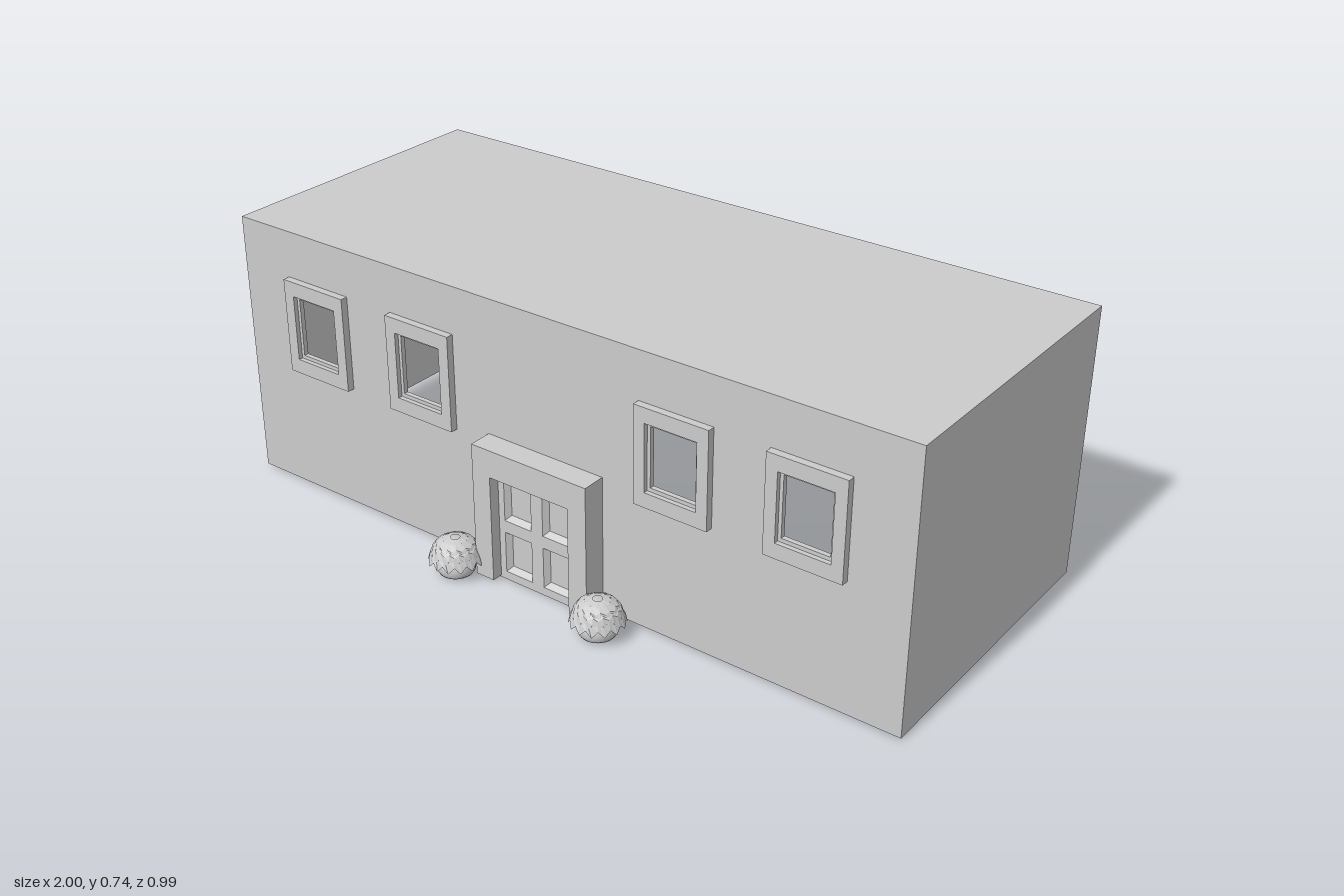
import * as THREE from 'three';

const mat = new THREE.MeshStandardMaterial({ color: 0xcccccc, side: THREE.DoubleSide });
const flat = new THREE.MeshStandardMaterial({ color: 0xcccccc, side: THREE.DoubleSide, flatShading: true });

const BASE = 0.005, TOP = 0.74, BACK = -0.495, FRONT = 0.335;
const WINDOWS = [-0.738, -0.383, 0.383, 0.738];
const WIN_Y = 0.482;

function add(parent, geo, name, material = mat) {
  const mesh = new THREE.Mesh(geo, material);
  mesh.name = name;
  parent.add(mesh);
  return mesh;
}

// Rectangle outline given by centre and half sizes
function rect(cx, cy, hw, hh, Type = THREE.Path) {
  return new Type([[-1, -1], [1, -1], [1, 1], [-1, 1]].map(([a, b]) => new THREE.Vector2(cx + a * hw, cy + b * hh)));
}

function holed(outer, holes) {
  outer.holes.push(...holes);
  return outer;
}

function extrude(shape, z0, z1) {
  return new THREE.ExtrudeGeometry(shape, { depth: z1 - z0, bevelEnabled: false }).translate(0, 0, z0);
}

// Surface joining closed loops of equal length
function loft(loops) {
  const n = loops[0].length, idx = [];
  for (let r = 0; r < loops.length - 1; r++) {
    for (let i = 0; i < n; i++) {
      const a = r * n + i, b = r * n + (i + 1) % n;
      idx.push(a, b, b + n, a, b + n, a + n);
    }
  }
  const geo = new THREE.BufferGeometry();
  geo.setAttribute('position', new THREE.Float32BufferAttribute(loops.flat(2), 3));
  geo.setIndex(idx);
  geo.computeVertexNormals();
  return geo;
}

const rectLoop = (cx, cy, hw, hh, z) => rect(cx, cy, hw, hh).getPoints().slice(0, 4).map((p) => [p.x, p.y, z]);

// Thin shell, open at the back and underneath
function makeShell() {
  const g = new THREE.Group();
  g.name = 'building';
  const h = TOP - BASE, d = FRONT - BACK, cy = (TOP + BASE) / 2, cz = (FRONT + BACK) / 2;
  const wall = holed(rect(0, cy, 1, h / 2, THREE.Shape), WINDOWS.map((x) => rect(x, WIN_Y, 0.103, 0.13)));
  add(g, new THREE.ShapeGeometry(wall).translate(0, 0, FRONT), 'frontWall');
  add(g, new THREE.PlaneGeometry(2, d).rotateX(-Math.PI / 2).translate(0, TOP, cz), 'roof');
  for (const s of [-1, 1]) {
    add(g, new THREE.PlaneGeometry(d, h).rotateY(s * Math.PI / 2).translate(s, cy, cz), s > 0 ? 'leftWall' : 'rightWall');
  }
  return g;
}

// Hollow window surround with an inner sleeve
function makeWindow(x) {
  const g = new THREE.Group();
  g.name = 'window';
  const loops = [[0.103, 0.13, FRONT], [0.103, 0.13, 0.355], [0.072, 0.09, 0.355], [0.072, 0.09, 0.343], [0.063, 0.08, 0.343], [0.063, 0.08, 0.33]];
  add(g, loft(loops.map(([w, h, z]) => rectLoop(0, WIN_Y, w, h, z))), 'windowFrame', flat);
  g.position.x = x;
  return g;
}

// Doorway surround and a deep door block with four sunken panels
function makeDoor() {
  const g = new THREE.Group();
  g.name = 'door';
  const frame = new THREE.Shape([[-0.175, BASE], [-0.12, BASE], [-0.12, 0.3], [0.12, 0.3], [0.12, BASE], [0.175, BASE], [0.175, 0.375], [-0.175, 0.375]]
    .map(([x, y]) => new THREE.Vector2(x, y)));
  add(g, extrude(frame, FRONT, 0.4), 'doorFrame');
  add(g, new THREE.BoxGeometry(0.32, 0.36, 0.135).translate(0, 0.18, 0.2875), 'doorBlock');
  const panels = [];
  for (const x of [-0.06, 0.06]) for (const y of [0.08, 0.228]) panels.push([x, y]);
  const face = holed(rect(0, 0.18, 0.16, 0.18, THREE.Shape), panels.map(([x, y]) => rect(x, y, 0.042, 0.057)));
  add(g, extrude(face, 0.355, 0.37), 'doorFace');
  for (const [x, y] of panels) {
    add(g, loft([rectLoop(x, y, 0.042, 0.057, 0.37), rectLoop(x, y, 0.031, 0.045, 0.3555)]), 'panelBevel', flat);
  }
  return g;
}

// Ring of pointed leaves hanging from (r0, y0) to (r1, y1)
function leafSkirt(count, r0, y0, r1, y1, turn) {
  const n = count * 2;
  const loops = [0, 0.5, 1].map((t) => Array.from({ length: n }, (_, i) => {
    const a = (i / n) * Math.PI * 2 + turn, tip = i % 2 === 0;
    const reach = tip ? t : t * 0.72;
    const r = r0 + (r1 - r0) * Math.sin(reach * Math.PI / 2) * (tip ? 1 : 0.97);
    const y = y0 + (y1 - y0) * reach ** 1.4;
    return [Math.sin(a) * r, y, Math.cos(a) * r];
  }));
  return loft(loops);
}

// Round pot under overlapping tiers of leaves
function makePlanter(side) {
  const g = new THREE.Group();
  g.name = 'planter';
  const pot = [[0, 0.005], [0.044, 0.005], [0.048, 0.012], [0.05, 0.024], [0.048, 0.036], [0.042, 0.046], [0.042, 0.058]];
  add(g, new THREE.LatheGeometry(pot.map(([r, y]) => new THREE.Vector2(r, y)), 28), 'pot');
  const core = [[0.054, 0.055], [0.053, 0.07], [0.045, 0.085], [0.03, 0.096], [0, 0.099]];
  add(g, new THREE.LatheGeometry(core.map(([r, y]) => new THREE.Vector2(r, y)), 24), 'foliageCore');
  const tiers = [
    [14, 0.044, 0.078, 0.071, 0.036],
    [14, 0.042, 0.09, 0.065, 0.052],
    [12, 0.032, 0.098, 0.058, 0.067],
    [10, 0.012, 0.102, 0.045, 0.084],
  ];
  tiers.forEach(([n, ...dims], i) => add(g, leafSkirt(n, ...dims, i % 2 ? Math.PI / n : 0), 'leafTier', flat));
  g.position.set(side * 0.225, 0, 0.42);
  return g;
}

export function createModel() {
  const model = new THREE.Group();
  model.name = 'house';
  model.add(makeShell(), makeDoor());
  for (const x of WINDOWS) model.add(makeWindow(x));
  for (const s of [-1, 1]) model.add(makePlanter(s));
  return model;
}
